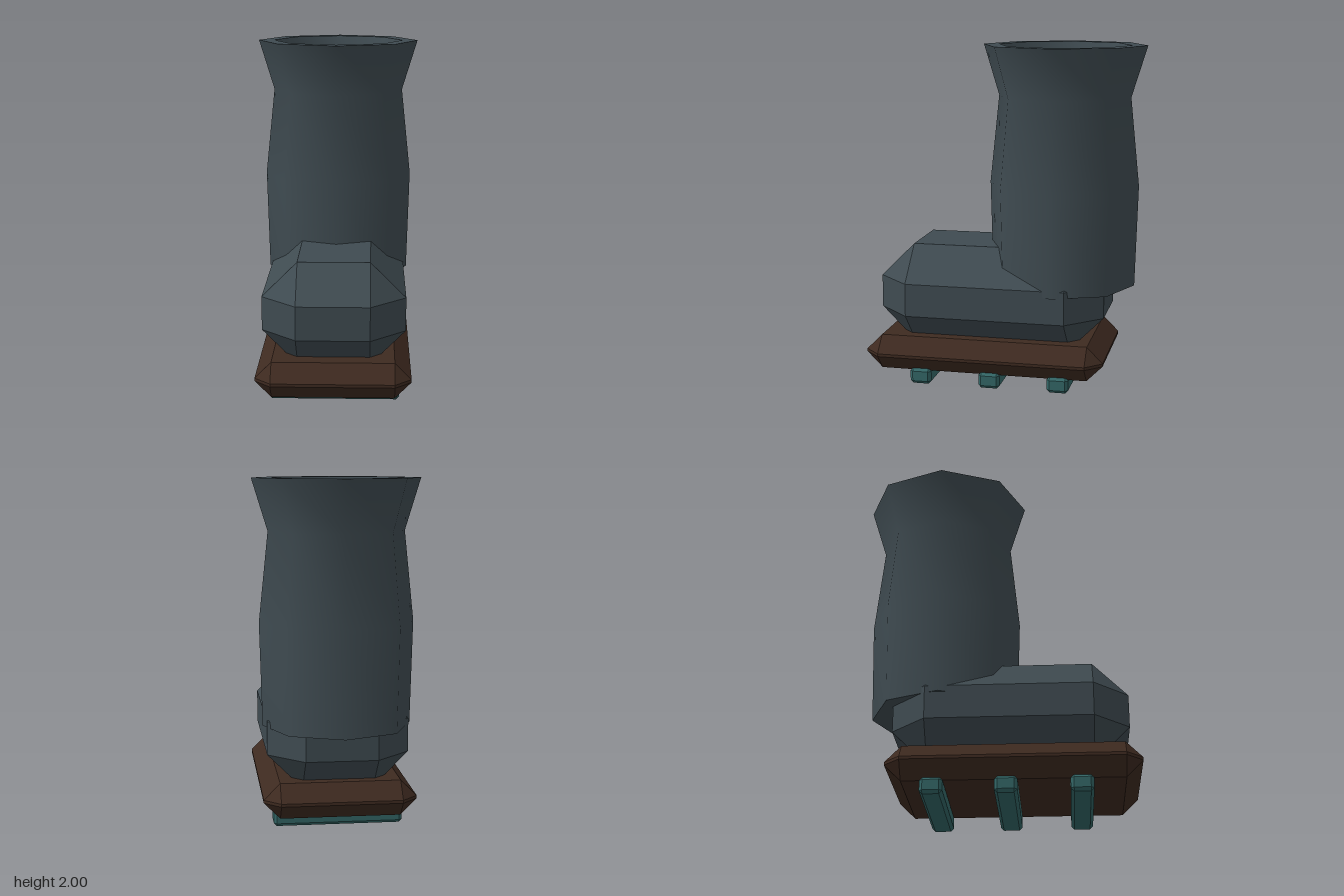
import * as THREE from 'three';
import { toCreasedNormals } from 'three/addons/utils/BufferGeometryUtils.js';
import { ConvexGeometry } from 'three/addons/geometries/ConvexGeometry.js';

const leather = new THREE.MeshStandardMaterial({ color: 0x3f4b51 });
const soleBrown = new THREE.MeshStandardMaterial({ color: 0x3e2a20 });
const treadTeal = new THREE.MeshStandardMaterial({ color: 0x336666 });

// Box with every edge cut back by c and every corner a single triangle
function chamferBox(w, h, d, c) {
  const half = [w / 2, h / 2, d / 2];
  const points = [];
  for (const sx of [-1, 1]) for (const sy of [-1, 1]) for (const sz of [-1, 1]) {
    for (let axis = 0; axis < 3; axis++) {
      const p = half.map((v, i) => (i === axis ? v : v - c));
      points.push(new THREE.Vector3(sx * p[0], sy * p[1], sz * p[2]));
    }
  }
  return new ConvexGeometry(points);
}

function addPart(group, name, geometry, material, y, z) {
  const mesh = new THREE.Mesh(geometry, material);
  mesh.name = name;
  mesh.position.set(0, y, z);
  group.add(mesh);
}

export function createModel() {
  const boot = new THREE.Group();
  boot.name = 'boot';

  // Hollow eight-sided shaft with a flared cuff
  const profile = [
    [0, 0.58], [0.43, 0.58], [0.447, 1.18], [0.393, 1.7], [0.485, 2],
    [0.393, 2], [0.3, 1.7], [0.355, 1.18], [0.34, 0.67], [0, 0.67],
  ].map(([r, y]) => new THREE.Vector2(r, y));
  const shaft = toCreasedNormals(new THREE.LatheGeometry(profile, 8), Math.PI / 3);
  addPart(boot, 'shaft', shaft, leather, 0, -0.322);

  // Foot, sole
  addPart(boot, 'foot', chamferBox(0.82, 0.6, 1.35, 0.203), leather, 0.52, 0.075);
  addPart(boot, 'sole', chamferBox(0.88, 0.205, 1.425, 0.094), soleBrown, 0.1825, 0.095);

  // Three tread bars across the underside
  const bar = chamferBox(0.75, 0.095, 0.128, 0.018);
  [0.472, 0.055, -0.355].forEach((z, i) => addPart(boot, `tread${i + 1}`, bar, treadTeal, 0.0475, z));

  return boot;
}
